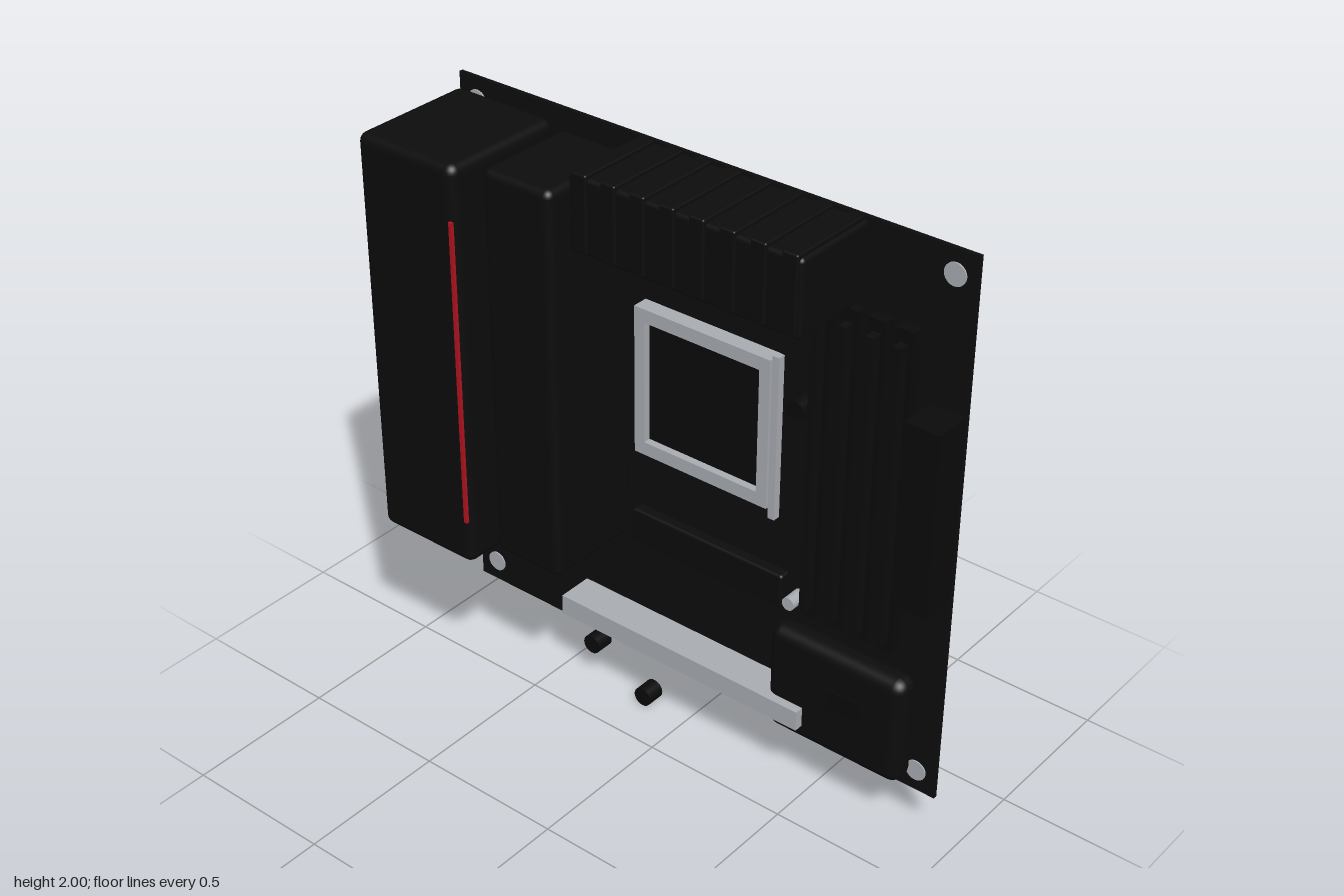
import * as THREE from 'three';
import { RoundedBoxGeometry } from 'three/addons/geometries/RoundedBoxGeometry.js';

export function createModel() {
  const model = new THREE.Group();
  model.name = 'circuitBoard';
  const mat = (name, color) => {
    const m = new THREE.MeshStandardMaterial({ color });
    m.name = name;
    return m;
  };
  const boardBlack = mat('board black', 0x0d0d0d);
  const coverBlack = mat('cover black', 0x0c0c0d);
  const slotBlack = mat('slot black', 0x0a0a0a);
  const silver = mat('silver', 0xa8abb1);
  const red = mat('red', 0xb0141f);

  const add = (name, geometry, material) => {
    const mesh = new THREE.Mesh(geometry, material);
    mesh.name = name;
    model.add(mesh);
    return mesh;
  };
  // Box given by its extents, optionally with rounded edges
  const box = (name, material, [x0, x1], [y0, y1], [z0, z1], r = 0) => {
    const size = [x1 - x0, y1 - y0, z1 - z0];
    const geo = r ? new RoundedBoxGeometry(...size, 3, r) : new THREE.BoxGeometry(...size);
    add(name, geo, material).position.set((x0 + x1) / 2, (y0 + y1) / 2, (z0 + z1) / 2);
  };
  // Cylinder lying along x
  const peg = (name, material, [x0, x1], y, z, r) => {
    const geo = new THREE.CylinderGeometry(r, r, x1 - x0, 20).rotateZ(Math.PI / 2);
    add(name, geo, material).position.set((x0 + x1) / 2, y, z);
  };

  // Board with mounting rings in the corners
  box('board', boardBlack, [0.213, 0.226], [0.155, 1.99], [-0.92, 0.92]);
  for (const y of [0.23, 1.915])
    for (const z of [-0.85, 0.85]) peg('mountingRing', silver, [0.208, 0.214], y, z, 0.035);

  // Port cover with its red accent strip
  box('portCover', coverBlack, [-0.225, 0.21], [0.59, 1.95], [-0.92, -0.54], 0.03);
  box('accentStrip', red, [-0.231, -0.222], [0.75, 1.78], [-0.558, -0.545]);

  // Side heatsink
  box('sideHeatsink', coverBlack, [-0.14, 0.21], [0.62, 1.93], [-0.51, -0.255], 0.025);

  // Upper heatsink with ridges
  box('upperHeatsink', coverBlack, [-0.093, 0.21], [1.745, 1.988], [-0.225, 0.578], 0.015);
  for (let i = 0; i < 8; i++) {
    const z = -0.18 + i * 0.103;
    box('heatsinkRidge', coverBlack, [-0.1, 0.2], [1.755, 2], [z - 0.026, z + 0.026], 0.006);
  }

  // Processor socket, frame and lever
  box('socket', slotBlack, [0.185, 0.214], [1.0, 1.44], [-0.17, 0.27]);
  const f = [0.16, 0.214];
  for (const y of [0.965, 1.425]) box('socketFrame', silver, f, [y, y + 0.045], [-0.2, 0.3]);
  for (const z of [-0.2, 0.262]) box('socketFrame', silver, f, [0.965, 1.47], [z, z + 0.038]);
  box('socketLever', silver, [0.145, 0.17], [0.95, 1.5], [0.318, 0.342]);

  // Memory slots with modules
  for (let i = 0; i < 4; i++) {
    const z = 0.46 + i * 0.09;
    box('memorySlot', slotBlack, [0.175, 0.214], [0.64, 1.72], [z - 0.03, z + 0.03]);
    box('memoryModule', coverBlack, [0.14, 0.18], [0.68, 1.68], [z - 0.013, z + 0.013]);
  }

  // Power connector
  box('powerConnector', slotBlack, [0.09, 0.214], [0.89, 1.5], [0.8, 0.918]);

  // Storage cover with its screw
  box('storageCover', coverBlack, [0.17, 0.214], [0.62, 0.74], [-0.22, 0.36], 0.01);
  peg('storageScrew', silver, [0.15, 0.214], 0.67, 0.4, 0.022);

  // Expansion slots
  box('expansionSlot', silver, [0.09, 0.214], [0.27, 0.34], [-0.45, 0.49]);
  box('lowerHeatsink', coverBlack, [0.12, 0.213], [0.21, 0.59], [0.35, 0.84], 0.04);
  box('heatsinkPlate', slotBlack, [0.115, 0.122], [0.39, 0.46], [0.58, 0.7]);

  // Capacitors, two of them below the board edge
  for (const [y, z] of [[0.145, -0.375], [0.035, -0.16], [1.35, 0.4]])
    peg('capacitor', slotBlack, [0.145, 0.207], y, z, 0.033);

  return model;
}
